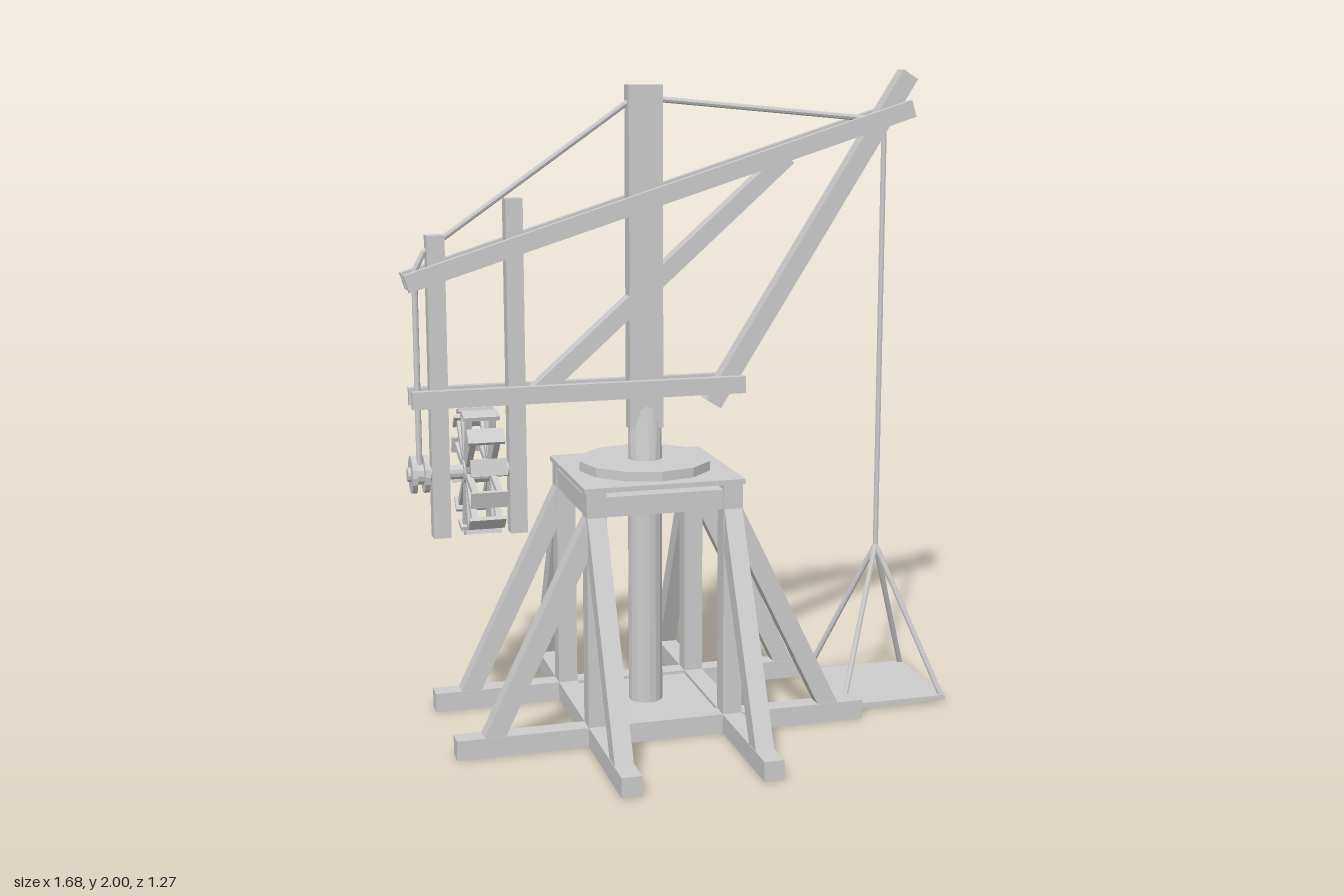
import * as THREE from 'three';

const material = new THREE.MeshStandardMaterial({ color: 0xcccccc, flatShading: true });
const V = (x, y, z = 0) => new THREE.Vector3(x, y, z);
const CX = -0.11; // mast axis

export function createModel() {
  const root = new THREE.Group();
  root.name = 'treadwheelCrane';

  const add = (parent, name, geometry, x = 0, y = 0, z = 0) => {
    const mesh = new THREE.Mesh(geometry, material);
    mesh.name = name;
    mesh.position.set(x, y, z);
    parent.add(mesh);
    return mesh;
  };
  const group = (name) => {
    const g = new THREE.Group();
    g.name = name;
    root.add(g);
    return g;
  };
  // Box given by its lower and upper corners
  const block = (parent, name, a, b) =>
    add(parent, name, new THREE.BoxGeometry(b[0] - a[0], b[1] - a[1], b[2] - a[2]),
      (a[0] + b[0]) / 2, (a[1] + b[1]) / 2, (a[2] + b[2]) / 2);
  // Timber from a to b; depth is measured along the normal
  const timber = (parent, name, a, b, width, depth, normal = V(0, 0, 1)) => {
    const u = b.clone().sub(a);
    const mesh = add(parent, name, new THREE.BoxGeometry(u.length(), width, depth));
    u.normalize();
    mesh.quaternion.setFromRotationMatrix(
      new THREE.Matrix4().makeBasis(u, normal.clone().cross(u), normal));
    mesh.position.copy(a).add(b).multiplyScalar(0.5);
    return mesh;
  };
  const rod = (parent, name, a, b, r, sides = 8) => {
    const d = b.clone().sub(a);
    const mesh = add(parent, name, new THREE.CylinderGeometry(r, r, d.length(), sides));
    mesh.quaternion.setFromUnitVectors(V(0, 1, 0), d.normalize());
    mesh.position.copy(a).add(b).multiplyScalar(0.5);
    return mesh;
  };

  // Ground frame, posts and braces
  const base = group('base');
  base.position.x = CX;
  for (const s of [-1, 1]) {
    add(base, 'longSill', new THREE.BoxGeometry(1.275, 0.06, 0.06), 0, 0.03, s * 0.21);
    add(base, 'crossSill', new THREE.BoxGeometry(0.06, 0.06, 1.275), s * 0.21, 0.03, 0);
    add(base, 'longHeadBeam', new THREE.BoxGeometry(0.42, 0.06, 0.055), 0, 0.735, s * 0.21);
    add(base, 'crossHeadBeam', new THREE.BoxGeometry(0.055, 0.06, 0.42), s * 0.21, 0.735, 0);
    for (const t of [-1, 1]) {
      add(base, 'post', new THREE.BoxGeometry(0.06, 0.78, 0.06), s * 0.21, 0.39, t * 0.21);
      timber(base, 'longBrace', V(s * 0.532, 0.04, t * 0.21), V(s * 0.21, 0.7, t * 0.21), 0.058, 0.056);
      timber(base, 'crossBrace', V(s * 0.21, 0.04, t * 0.532), V(s * 0.21, 0.7, t * 0.21),
        0.058, 0.056, V(1, 0, 0));
    }
  }
  // Floor plate with a socket hole for the mast
  const floor = new THREE.Shape([[-1, -1], [1, -1], [1, 1], [-1, 1]].map(
    ([x, y]) => new THREE.Vector2(x * 0.185, y * 0.185)));
  floor.holes.push(new THREE.Path().absarc(0, 0, 0.045, 0, Math.PI * 2, true));
  add(base, 'floorPlate', new THREE.ExtrudeGeometry(floor, { depth: 0.04, bevelEnabled: false }), 0, 0.05, 0)
    .rotation.x = Math.PI / 2;
  add(base, 'topPlate', new THREE.BoxGeometry(0.495, 0.015, 0.485), 0, 0.787, 0);
  add(base, 'turntable', new THREE.CylinderGeometry(0.206, 0.206, 0.03, 12), 0, 0.809, 0);

  // Mast: round foot that tapers into a flat upper timber
  const mast = group('mast');
  mast.position.x = CX;
  add(mast, 'mastFoot', new THREE.CylinderGeometry(0.053, 0.053, 0.79, 16), 0, 0.43, 0);
  const taper = new THREE.CylinderGeometry(0.053, 0.053, 0.165, 16);
  const p = taper.attributes.position;
  for (let i = 0; i < p.count; i++) if (p.getY(i) > 0) p.setZ(i, p.getZ(i) * 0.49);
  taper.computeVertexNormals();
  add(mast, 'mastTaper', taper, 0, 0.907, 0);
  add(mast, 'mastTimber', new THREE.BoxGeometry(0.105, 1.035, 0.052), 0, 1.4375, 0);

  // Jib: paired outer beams clasping the single central timbers
  const jib = group('jib');
  for (const s of [-1, 1]) {
    const z = s * 0.0385;
    timber(jib, 'mainBeam', V(-0.833, 1.388, z), V(0.738, 1.881, z), 0.053, 0.025);
    timber(jib, 'lowerBeam', V(-0.825, 1.045, z), V(0.2, 1.045, z), 0.052, 0.025);
  }
  timber(jib, 'outerStrut', V(0.103, 0.985), V(0.735, 1.984), 0.056, 0.052);
  timber(jib, 'innerStrut', V(-0.45, 1.04), V(0.34, 1.738), 0.052, 0.052);
  block(jib, 'outerHanger', [-0.769, 0.62, -0.026], [-0.716, 1.525, 0.026]);
  block(jib, 'innerHanger', [-0.536, 0.62, -0.026], [-0.484, 1.628, 0.026]);

  // Winding axle with its rope drum
  const winch = group('winch');
  const Y = 0.815;
  const onAxle = (name, x0, x1, r, sides = 12) => rod(winch, name, V(x0, Y), V(x1, Y), r, sides);
  onAxle('axle', -0.84, -0.5, 0.022);
  onAxle('drumCore', -0.825, -0.785, 0.032);
  onAxle('drumFlange', -0.83, -0.815, 0.057, 16);
  onAxle('drumFlange', -0.793, -0.778, 0.057, 16);
  onAxle('wheelHub', -0.675, -0.575, 0.036);

  // Spoked wheel with a tread at the tip of every spoke pair
  for (let i = 0; i < 12; i++) {
    const spoke = new THREE.Group();
    spoke.name = 'wheelSpoke';
    spoke.position.set(-0.625, Y, 0);
    spoke.rotation.x = ((i + 0.5) * Math.PI) / 6;
    for (const s of [-1, 1])
      add(spoke, 'spokeBar', new THREE.BoxGeometry(0.018, 0.165, 0.02), s * 0.036, 0.0995, 0);
    add(spoke, 'tread', new THREE.BoxGeometry(0.108, 0.012, 0.05), 0, 0.183, 0);
    winch.add(spoke);
  }

  // Hoisting rope over the jib head, mast top and tail
  const rope = group('hoistRope');
  const path = new THREE.CurvePath();
  const pts = [V(-0.803, 0.82), V(-0.803, 1.42), V(-0.775, 1.475), V(-0.165, 1.9), V(CX, 1.918),
    V(-0.06, 1.912), V(0.63, 1.848), V(0.66, 1.82), V(0.66, 0.49)];
  for (let i = 1; i < pts.length; i++) path.add(new THREE.LineCurve3(pts[i - 1], pts[i]));
  path.curves.forEach((c) => rod(rope, 'ropeLength', c.v1, c.v2, 0.009));
  pts.slice(1, -1).forEach((q) => add(rope, 'ropeBend', new THREE.SphereGeometry(0.009, 8, 6), q.x, q.y, q.z));

  // Load platform on four slings
  const load = group('loadPlatform');
  block(load, 'platform', [0.48, 0.008, -0.178], [0.838, 0.024, 0.178]);
  for (const s of [-1, 1])
    for (const t of [-1, 1])
      rod(load, 'sling', V(0.66, 0.49), V(0.66 + s * 0.168, 0.018, t * 0.168), 0.009);

  return root;
}
